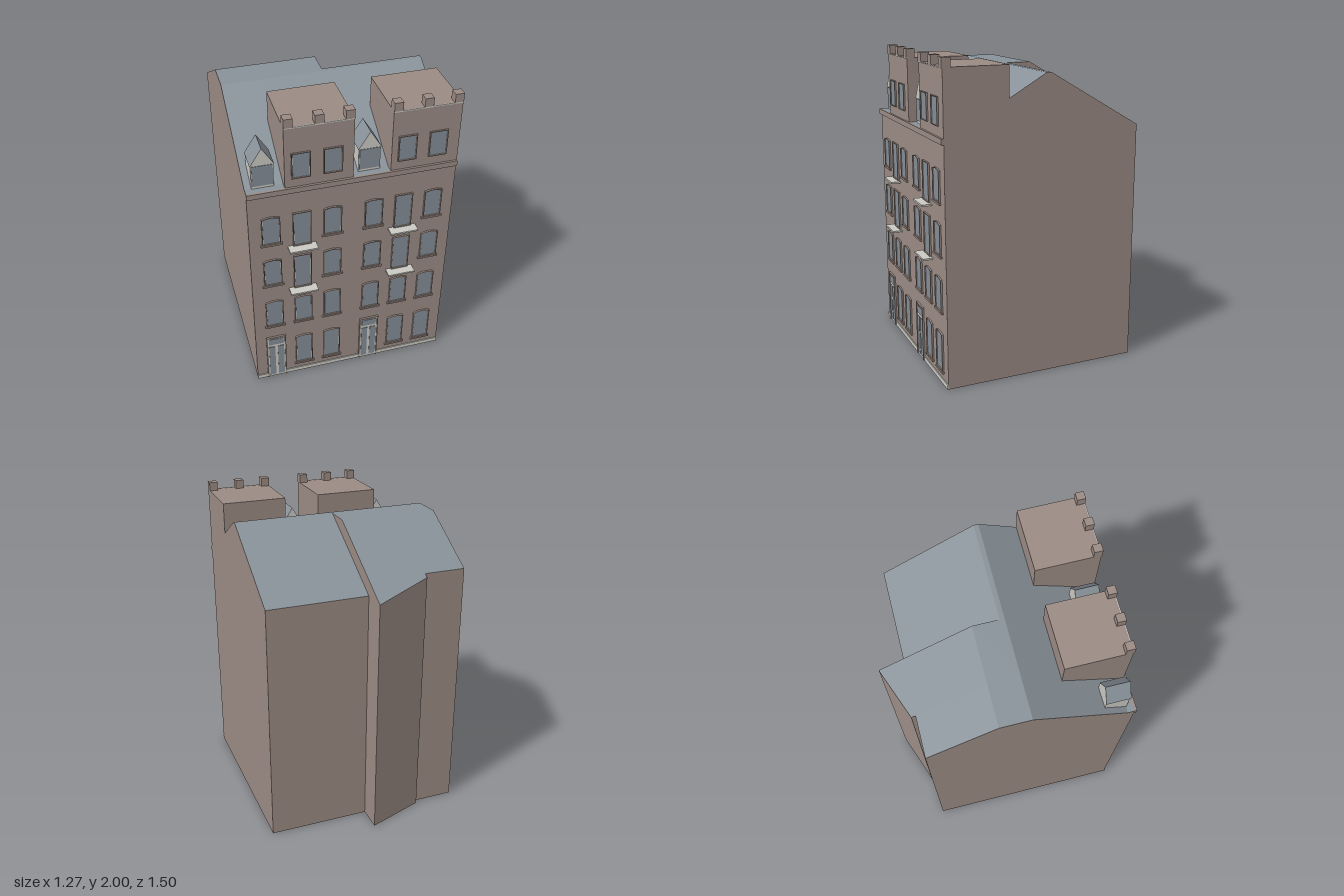
import * as THREE from 'three';

const mat = (name, color) => {
  const m = new THREE.MeshStandardMaterial({ color });
  m.name = name;
  return m;
};

export function createModel() {
  const brick = mat('brick', 0x9b8b84);
  const slate = mat('slate', 0x89929a);
  const glass = mat('glass', 0x858d96);
  const cream = mat('cream stone', 0xcbcac3);
  const root = new THREE.Group();
  root.name = 'townhouses';
  const FRONT = 0.685;

  const add = (parent, name, geo, material) => {
    const m = new THREE.Mesh(geo, material);
    m.name = name;
    parent.add(m);
    return m;
  };
  // Box given by its minimum and maximum on each axis
  const box = (parent, name, material, x0, x1, y0, y1, z0, z1) => {
    const g = new THREE.BoxGeometry(x1 - x0, y1 - y0, z1 - z0);
    g.translate((x0 + x1) / 2, (y0 + y1) / 2, (z0 + z1) / 2);
    return add(parent, name, g, material);
  };
  const meshFrom = (parent, name, pts, material) => {
    const g = new THREE.BufferGeometry().setFromPoints(pts);
    g.computeVertexNormals();
    add(parent, name, g, material);
  };

  // House section between two x positions; the back wall may run at a slant
  const house = (parent, xa, xb, backA, backB, ridgeBack) => {
    const section = (x, back) => [
      [FRONT, 0], [FRONT, 1.545], [0.64, 1.545], [0.04, 1.89], [ridgeBack, 1.89],
      [back, 1.89 - 0.58 * (ridgeBack - back)], [back, 0],
    ].map(([z, y]) => new THREE.Vector3(x, y, z));
    const a = section(xa, backA), b = section(xb, backB);
    const walls = [], roof = [];
    for (let i = 0; i < 7; i++) {
      const j = (i + 1) % 7;
      (i >= 1 && i <= 4 ? roof : walls).push(a[i], b[i], b[j], a[i], b[j], a[j]);
      if (i > 0 && i < 6) walls.push(a[0], a[i], a[j], b[0], b[j], b[i]);
    }
    meshFrom(parent, 'walls', walls, brick);
    meshFrom(parent, 'roof', roof, slate);
  };

  // Window outline, with an optional shallow arched head
  const outline = (w, h, rise, inset = 0, Type = THREE.Shape) => {
    const s = new Type(), x = w / 2 - inset, top = h - inset;
    s.moveTo(-x, inset);
    s.lineTo(x, inset);
    s.lineTo(x, top - rise);
    s.quadraticCurveTo(0, top + rise, -x, top - rise);
    s.lineTo(-x, inset);
    return s;
  };
  const plate = (shape, depth) =>
    new THREE.ExtrudeGeometry(shape, { depth, bevelEnabled: false, curveSegments: 6 });

  const windowUnit = (parent, cx, y0, y1, rise, sill) => {
    const g = new THREE.Group();
    g.name = 'window';
    g.position.set(cx, y0, FRONT);
    const w = 0.112, h = y1 - y0;
    const ring = outline(w, h, rise);
    ring.holes.push(outline(w, h, rise, 0.005, THREE.Path));
    add(g, 'windowSurround', plate(ring, 0.011), brick);
    add(g, 'windowFrame', plate(outline(w, h, rise, 0.004), 0.003), cream);
    add(g, 'windowGlass', plate(outline(w, h, rise, 0.008), 0.005), glass);
    if (sill) box(g, 'windowSill', brick, -0.066, 0.066, -0.012, 0, 0, 0.014);
    parent.add(g);
  };

  const door = (parent, cx) => {
    const g = new THREE.Group();
    g.name = 'door';
    g.position.set(cx, 0, FRONT);
    box(g, 'doorFrame', cream, -0.056, 0.056, 0, 0.36, 0, 0.006);
    box(g, 'transomGlass', glass, -0.049, 0.049, 0.3, 0.35, 0.006, 0.009);
    for (const s of [-1, 1]) {
      const x = s * 0.029;
      box(g, 'doorPanel', glass, x - 0.02, x + 0.02, 0.018, 0.28, 0.006, 0.009);
      box(g, 'doorJamb', brick, s * 0.06 - 0.004, s * 0.06 + 0.004, 0, 0.365, 0, 0.012);
    }
    box(g, 'doorHead', brick, -0.064, 0.064, 0.36, 0.368, 0, 0.012);
    parent.add(g);
  };

  // Small gabled roof dormer
  const dormer = (parent, cx) => {
    const g = new THREE.Group();
    g.name = 'dormer';
    g.position.set(cx, 0, 0);
    box(g, 'dormerBody', cream, -0.066, 0.066, 1.54, 1.7, 0.5, 0.645);
    box(g, 'dormerWindow', glass, -0.061, 0.061, 1.562, 1.698, 0.645, 0.65);
    const tri = new THREE.Shape();
    tri.moveTo(-0.07, 1.7);
    tri.lineTo(0.07, 1.7);
    tri.lineTo(0, 1.812);
    const gable = plate(tri, 0.15);
    gable.translate(0, 0, 0.5);
    add(g, 'dormerGable', gable, [cream, slate]);
    parent.add(g);
  };

  // Front details of one house, measured from its left edge seen from the street
  const facade = (parent, x0, x1, blockX) => {
    const cols = [x0 + 0.133, x0 + 0.32, x0 + 0.508];
    const floors = [[0.085, 0.335], [0.475, 0.688], [0.828, 1.03], [1.155, 1.357]];
    floors.forEach(([y0, y1], f) => cols.forEach((cx, c) => {
      if (f === 0 && c === 0) return door(parent, cx);
      const tall = f > 1 && c === 1;
      const base = f === 2 ? 0.77 : 1.11;
      windowUnit(parent, cx, tall ? base : y0, y1, tall ? 0 : 0.01, !tall);
      if (tall) {
        box(parent, 'balconySlab', cream, x0 + 0.231, x0 + 0.405,
          base - 0.011, base, FRONT, 0.748);
      }
    }));
    // Plinth on both sides of the door
    box(parent, 'plinth', cream, x0, cols[0] - 0.064, 0, 0.03, FRONT, 0.691);
    box(parent, 'plinth', cream, cols[0] + 0.064, x1, 0, 0.03, FRONT, 0.691);
    box(parent, 'cornice', brick, x0, x1, 1.51, 1.545, FRONT, 0.7);

    // Raised attic block with parapet posts
    box(parent, 'atticBlock', brick, blockX, x1, 1.54, 1.945, 0.28, FRONT + 0.001);
    box(parent, 'coping', cream, blockX, x1, 1.939, 1.946, FRONT, 0.691);
    for (let i = 0; i < 3; i++) {
      const px = blockX + (i * (x1 - blockX - 0.053)) / 2;
      box(parent, 'parapetPost', brick, px, px + 0.053, 1.944, 2, 0.637, 0.691);
    }
    for (const c of [1, 2]) windowUnit(parent, cols[c], 1.605, 1.775, 0, false);
    dormer(parent, x0 + 0.107);
  };

  // Right house, with a slanted projection behind
  const a = new THREE.Group();
  a.name = 'rightHouse';
  house(a, -0.635, -0.37, -0.59, -0.59, -0.155);
  house(a, -0.37, -0.004, -0.617, -0.748, -0.155);
  facade(a, -0.635, -0.004, -0.41);

  // Left house
  const b = new THREE.Group();
  b.name = 'leftHouse';
  house(b, -0.004, 0.635, -0.587, -0.587, 0.01);
  facade(b, -0.004, 0.635, 0.222);

  root.add(a, b);
  return root;
}
